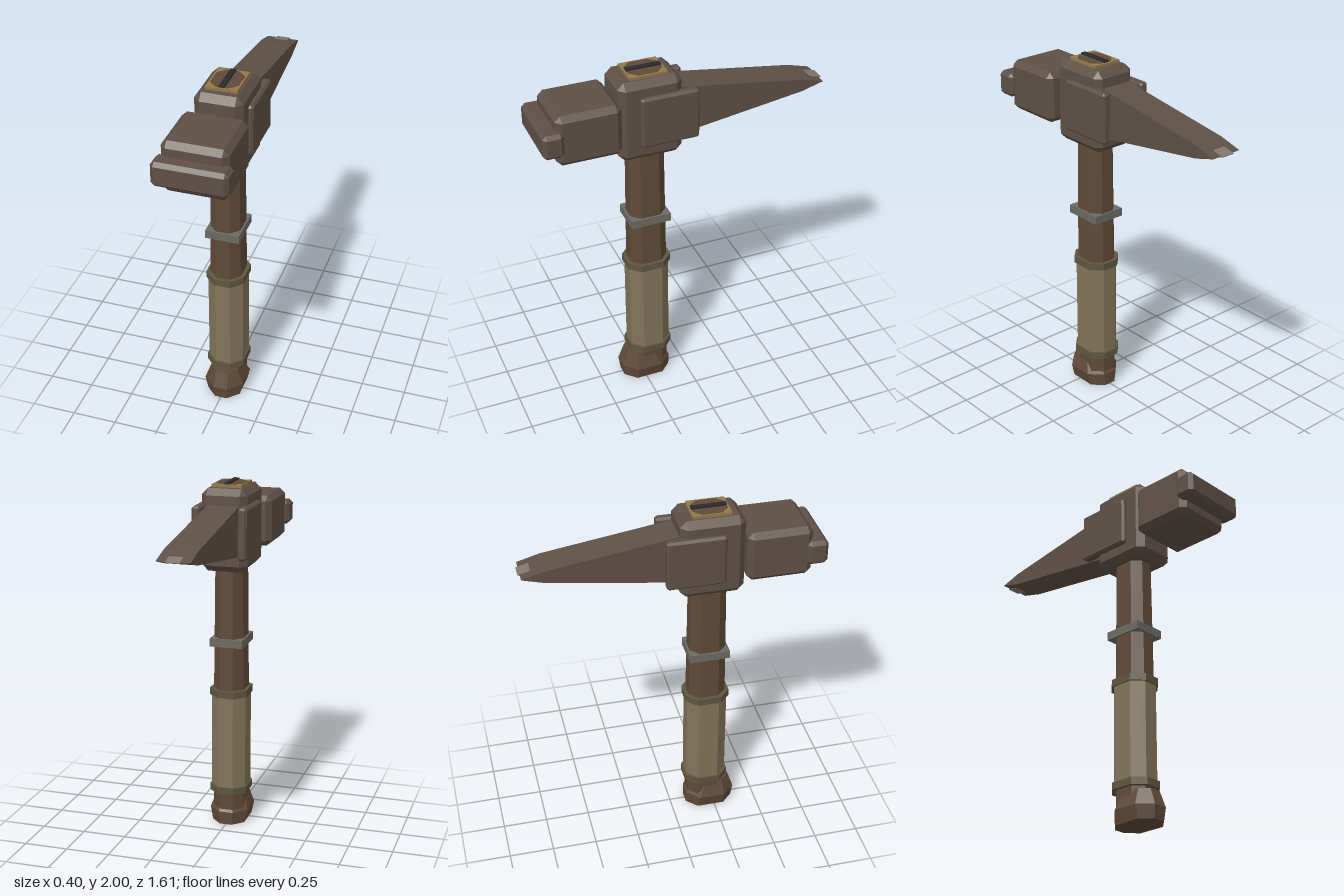
import * as THREE from 'three';
import { ConvexGeometry } from 'three/addons/geometries/ConvexGeometry.js';

const HANDLE_Z = 0.205;

const paint = (color) => new THREE.MeshStandardMaterial({ color, flatShading: true });

// Box with every edge cut at 45 degrees, given by its extents
function chamferBox([x0, x1], [y0, y1], [z0, z1], cut) {
  const h = [(x1 - x0) / 2, (y1 - y0) / 2, (z1 - z0) / 2];
  const points = [];
  for (let axis = 0; axis < 3; axis++)
    for (const sx of [-1, 1]) for (const sy of [-1, 1]) for (const sz of [-1, 1]) {
      const p = [sx, sy, sz].map((s, i) => s * (h[i] - (i === axis ? 0 : cut)));
      points.push(new THREE.Vector3(...p));
    }
  return new ConvexGeometry(points).translate((x0 + x1) / 2, (y0 + y1) / 2, (z0 + z1) / 2);
}

// Solid lofted through rectangular sections with cut corners, from bottom to top
function octagonLoft(sections) {
  const positions = [], index = [];
  for (const { y, hx, hz, cut, z = HANDLE_Z } of sections) {
    const a = hx - cut, b = hz - cut;
    const ring = [[hx, -b], [hx, b], [a, hz], [-a, hz], [-hx, b], [-hx, -b], [-a, -hz], [a, -hz]];
    for (const [px, pz] of ring) positions.push(px, y, z + pz);
  }
  const last = (sections.length - 1) * 8;
  for (let r = 0; r < last; r += 8)
    for (let i = 0; i < 8; i++) {
      const j = (i + 1) % 8;
      index.push(r + i, r + 8 + i, r + j, r + j, r + 8 + i, r + 8 + j);
    }
  for (let i = 1; i < 7; i++) {
    index.push(0, i, i + 1);
    index.push(last, last + i + 1, last + i);
  }
  const geometry = new THREE.BufferGeometry();
  geometry.setAttribute('position', new THREE.Float32BufferAttribute(positions, 3));
  geometry.setIndex(index);
  geometry.computeVertexNormals();
  return geometry;
}

// Side profile of [z, y] points given a width along x
function sideExtrude(profile, width) {
  const shape = new THREE.Shape(profile.map(([z, y]) => new THREE.Vector2(z, y)));
  return new THREE.ExtrudeGeometry(shape, { depth: width, bevelEnabled: false })
    .rotateY(-Math.PI / 2).translate(width / 2, 0, 0);
}

export function createModel() {
  const model = new THREE.Group();
  model.name = 'warHammer';
  const iron = paint(0x5e5046), wood = paint(0x5f4a38), wrap = paint(0x82745a);
  const band = paint(0x5f563f), steel = paint(0x6b6a64), brass = paint(0x93794a);
  const tipSteel = paint(0x80786f), dark = paint(0x2a2a2c);

  const add = (name, geometry, material) => {
    const mesh = new THREE.Mesh(geometry, material);
    mesh.name = name;
    model.add(mesh);
    return mesh;
  };
  const box = (name, w, h, d, y, material) =>
    add(name, new THREE.BoxGeometry(w, h, d), material).position.set(0, y, HANDLE_Z);

  // Handle, running right through the head
  add('handle', octagonLoft([
    { y: 0.04, hx: 0.09, hz: 0.105, cut: 0.052 },
    { y: 0.8, hx: 0.088, hz: 0.105, cut: 0.05 },
    { y: 1.991, hx: 0.075, hz: 0.093, cut: 0.042 },
  ]), wood);

  // Pommel, set a little forward
  add('pommel', octagonLoft([
    { y: 0, hx: 0.095, hz: 0.138, cut: 0.06, z: 0.228 },
    { y: 0.075, hx: 0.113, hz: 0.143, cut: 0.072, z: 0.233 },
    { y: 0.17, hx: 0.08, hz: 0.093, cut: 0.045, z: 0.248 },
  ]), wood);

  // Wrapped grip with a collar at each end
  add('grip', octagonLoft([0.2, 0.8].map((y) => ({ y, hx: 0.1, hz: 0.115, cut: 0.058 }))), wrap);
  for (const [name, y] of [['lowerCollar', 0.19], ['upperCollar', 0.775]])
    add(name, octagonLoft([y, y + 0.04].map((h) => ({ y: h, hx: 0.108, hz: 0.126, cut: 0.06 }))), band);
  box('handleRing', 0.19, 0.047, 0.226, 1.095, steel);

  // Head block, cheek plates and hammer
  add('headBlock', chamferBox([-0.13, 0.13], [1.515, 1.973], [0.03, 0.38], 0.036), iron);
  for (const [name, side] of [['leftCheekPlate', 1], ['rightCheekPlate', -1]])
    add(name, chamferBox([0.13 * side - 0.025, 0.13 * side + 0.025], [1.602, 1.888], [-0.05, 0.27], 0.012), iron);
  add('hammerBlock', chamferBox([-0.175, 0.175], [1.602, 1.888], [0.378, 0.73], 0.03), iron);
  add('strikingFace', chamferBox([-0.2, 0.2], [1.675, 1.812], [0.695, 0.808], 0.02), iron);

  // Pick blade and its worn steel tip
  add('pick', sideExtrude([
    [0.1, 1.895], [0.1, 1.595], [-0.04, 1.617], [-0.67, 1.71], [-0.795, 1.745], [-0.67, 1.78], [-0.04, 1.873],
  ], 0.18), iron);
  add('pickTip', sideExtrude([[-0.74, 1.763], [-0.74, 1.727], [-0.806, 1.743], [-0.806, 1.747]], 0.075), tipSteel);

  // Top plate with the wedge driven into the handle end
  box('topPlate', 0.17, 0.04, 0.21, 1.969, brass);
  box('handleWedge', 0.03, 0.03, 0.19, 1.985, dark);

  return model;
}
